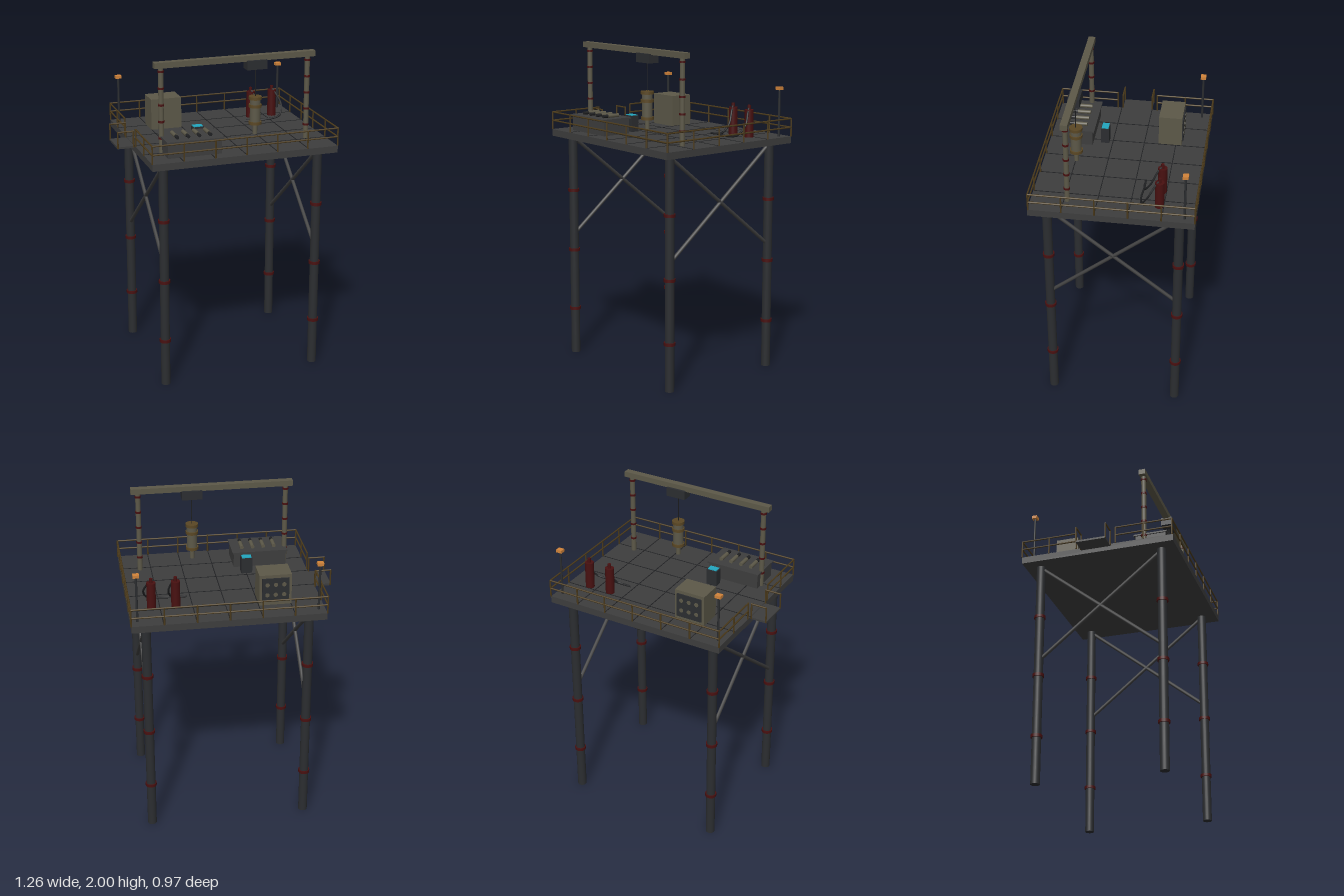
import * as THREE from 'three';

const mat = (name, color) => {
  const m = new THREE.MeshStandardMaterial({ color });
  m.name = name;
  return m;
};

export function createModel() {
  const root = new THREE.Group();
  root.name = 'offshorePlatform';
  const deckGrey = mat('deckGrey', 0x3d3d3d);
  const legSteel = mat('legSteel', 0x2b2d30);
  const black = mat('black', 0x202123);
  const railBrown = mat('railBrown', 0x4b3a1b);
  const red = mat('darkRed', 0x481010);
  const olive = mat('oliveGrey', 0x5c5848);
  const brass = mat('brass', 0x5a4724);
  const orange = mat('orange', 0xd0833a);
  const teal = mat('teal', 0x22a6be);

  const group = (name, parent = root) => {
    const g = new THREE.Group();
    g.name = name;
    parent.add(g);
    return g;
  };
  const add = (name, geo, m, x, y, z, parent = root) => {
    const mesh = new THREE.Mesh(geo, m);
    mesh.name = name;
    mesh.position.set(x, y, z);
    parent.add(mesh);
    return mesh;
  };
  const box = (name, m, w, h, d, x, y, z, parent) =>
    add(name, new THREE.BoxGeometry(w, h, d), m, x, y, z, parent);
  // Upright cylinder from y0 to y1
  const post = (name, m, r, y0, y1, x, z, parent, sides = 16) =>
    add(name, new THREE.CylinderGeometry(r, r, y1 - y0, sides), m, x, (y0 + y1) / 2, z, parent);
  // Round bar between two points
  const bar = (name, m, r, a, b, parent, sides = 8) => {
    const p = new THREE.Vector3(...a), q = new THREE.Vector3(...b);
    const mid = p.clone().add(q).multiplyScalar(0.5);
    const mesh = add(name, new THREE.CylinderGeometry(r, r, p.distanceTo(q), sides), m, mid.x, mid.y, mid.z, parent);
    mesh.quaternion.setFromUnitVectors(new THREE.Vector3(0, 1, 0), q.sub(p).normalize());
    return mesh;
  };

  const top = 1.457, cx = 0.05;

  // Deck with panel seams
  box('deck', deckGrey, 1.15, 0.042, 0.966, cx, top - 0.021, 0);
  const seams = group('deckSeams');
  for (let i = 1; i < 6; i++) box('seam', black, 0.005, 0.002, 0.96, cx - 0.58 + i * 0.1933, top + 0.001, 0, seams);
  for (let i = 1; i < 5; i++) box('seam', black, 1.15, 0.002, 0.005, cx, top + 0.001, -0.483 + i * 0.1932, seams);

  // Legs with collars, and crossed side braces
  for (const x of [-0.436, 0.534]) {
    for (const z of [-0.388, 0.388]) {
      const leg = group('leg');
      post('legTube', legSteel, 0.028, 0, 1.42, x, z, leg, 20);
      for (const y of [0.295, 0.683, 1.07]) post('legCollar', red, 0.035, y - 0.009, y + 0.009, x, z, leg, 20);
    }
    for (const s of [-1, 1])
      bar('crossBrace', deckGrey, 0.0115, [x, 0.785, -0.385 * s], [x, 1.408, 0.385 * s]);
  }

  // Guard rails
  const rails = group('guardRails');
  const railing = (ax, az, bx, bz, n) => {
    for (const y of [1.512, 1.565]) bar('rail', railBrown, 0.005, [ax, y, az], [bx, y, bz], rails);
    for (let i = 0; i <= n; i++) {
      const t = i / n;
      post('railPost', railBrown, 0.005, top, 1.568, ax + (bx - ax) * t, az + (bz - az) * t, rails, 8);
    }
  };
  const xl = -0.525, xr = 0.625, zf = 0.478, zb = -0.483;
  railing(xl, zf, xr, zf, 6);
  railing(xl, zb, xr, zb, 6);
  railing(xr, zb, xr, zf, 5);
  railing(xl, zb, xl, -0.13, 2);
  railing(xl, 0.122, xl, zf, 2);

  // Side landing with two short rails
  const landing = group('landing');
  box('landingFloor', deckGrey, 0.105, 0.012, 0.186, -0.577, 1.448, -0.003, landing);
  for (const z of [-0.096, 0.09]) {
    bar('landingRail', railBrown, 0.005, [-0.628, 1.545, z], [-0.527, 1.545, z], landing);
    for (const x of [-0.626, -0.53]) post('landingPost', railBrown, 0.005, 1.445, 1.548, x, z, landing, 8);
  }

  // Gantry: columns, beam, trolley
  const gantry = group('gantry');
  const gz = 0.27;
  box('gantryBeam', olive, 0.997, 0.034, 0.042, 0.048, 1.983, gz, gantry);
  for (const x of [-0.408, 0.503]) {
    post('gantryColumn', olive, 0.0155, top, 1.968, x, gz, gantry);
    for (let i = 0; i < 5; i++) {
      const y = 1.545 + i * 0.1;
      post('columnBand', red, 0.0185, y - 0.006, y + 0.006, x, gz, gantry);
    }
  }
  box('trolley', legSteel, 0.125, 0.055, 0.07, 0.174, 1.944, gz, gantry);
  post('cable', black, 0.003, 1.74, 1.92, 0.175, gz, gantry, 6);

  // Suspended tool
  const tool = group('hangingTool');
  post('toolBody', olive, 0.032, 1.585, 1.74, 0.175, gz, tool, 20);
  for (const y of [1.585, 1.69, 1.738]) post('toolFlange', brass, 0.039, y - 0.009, y + 0.009, 0.175, gz, tool, 20);
  post('toolTip', olive, 0.014, 1.515, 1.58, 0.175, gz, tool);

  // Control console with four valves
  const consoleUnit = group('console');
  box('consoleBody', deckGrey, 0.33, 0.092, 0.19, -0.244, top + 0.046, 0.31, consoleUnit);
  box('consoleTop', deckGrey, 0.346, 0.01, 0.212, -0.244, 1.553, 0.31, consoleUnit);
  for (let i = 0; i < 4; i++) {
    const x = -0.34 + i * 0.0677;
    bar('valveBody', olive, 0.012, [x, 1.568, 0.255], [x, 1.568, 0.335], consoleUnit, 14);
    bar('valveTip', black, 0.01, [x, 1.568, 0.33], [x, 1.568, 0.37], consoleUnit, 14);
  }

  // Monitor stand
  const monitor = group('monitor');
  box('monitorBody', legSteel, 0.068, 0.1, 0.05, -0.146, 1.507, 0.143, monitor);
  box('monitorScreen', teal, 0.058, 0.006, 0.042, -0.146, 1.559, 0.143, monitor);

  // Equipment cabinet with a gauge panel on its rear
  const cabinet = group('cabinet');
  box('cabinetBody', olive, 0.194, 0.193, 0.142, -0.243, top + 0.0965, -0.255, cabinet);
  box('gaugePanel', legSteel, 0.162, 0.15, 0.008, -0.243, 1.555, -0.329, cabinet);
  for (let i = 0; i < 3; i++)
    for (const y of [1.525, 1.59])
      bar('gauge', olive, 0.013, [-0.293 + i * 0.05, y, -0.331], [-0.293 + i * 0.05, y, -0.336], cabinet, 14);

  // Gas cylinders with hoses
  const bottles = group('gasCylinders');
  const hose = (points) => add('hose', new THREE.TubeGeometry(
    new THREE.CatmullRomCurve3(points.map((p) => new THREE.Vector3(...p))), 36, 0.006, 8), black, 0, 0, 0, bottles);
  for (const x of [0.342, 0.486]) {
    post('cylinderBody', red, 0.027, top, 1.625, x, -0.265, bottles, 20);
    post('cylinderValve', red, 0.01, 1.62, 1.652, x, -0.265, bottles, 12);
  }
  hose([[0.342, 1.635, -0.262], [0.36, 1.6, -0.235], [0.378, 1.53, -0.2], [0.355, 1.475, -0.165], [0.31, 1.466, -0.156], [0.262, 1.466, -0.158]]);
  hose([[0.486, 1.635, -0.262], [0.505, 1.6, -0.235], [0.527, 1.54, -0.2], [0.5, 1.48, -0.162], [0.42, 1.466, -0.151], [0.33, 1.466, -0.158], [0.262, 1.466, -0.158]]);

  // Corner warning lights
  for (const x of [-0.485, 0.584]) {
    const light = group('warningLight');
    post('lightPost', legSteel, 0.007, top, 1.742, x, -0.42, light, 10);
    box('lamp', orange, 0.037, 0.018, 0.033, x, 1.75, -0.42, light);
  }
  return root;
}
